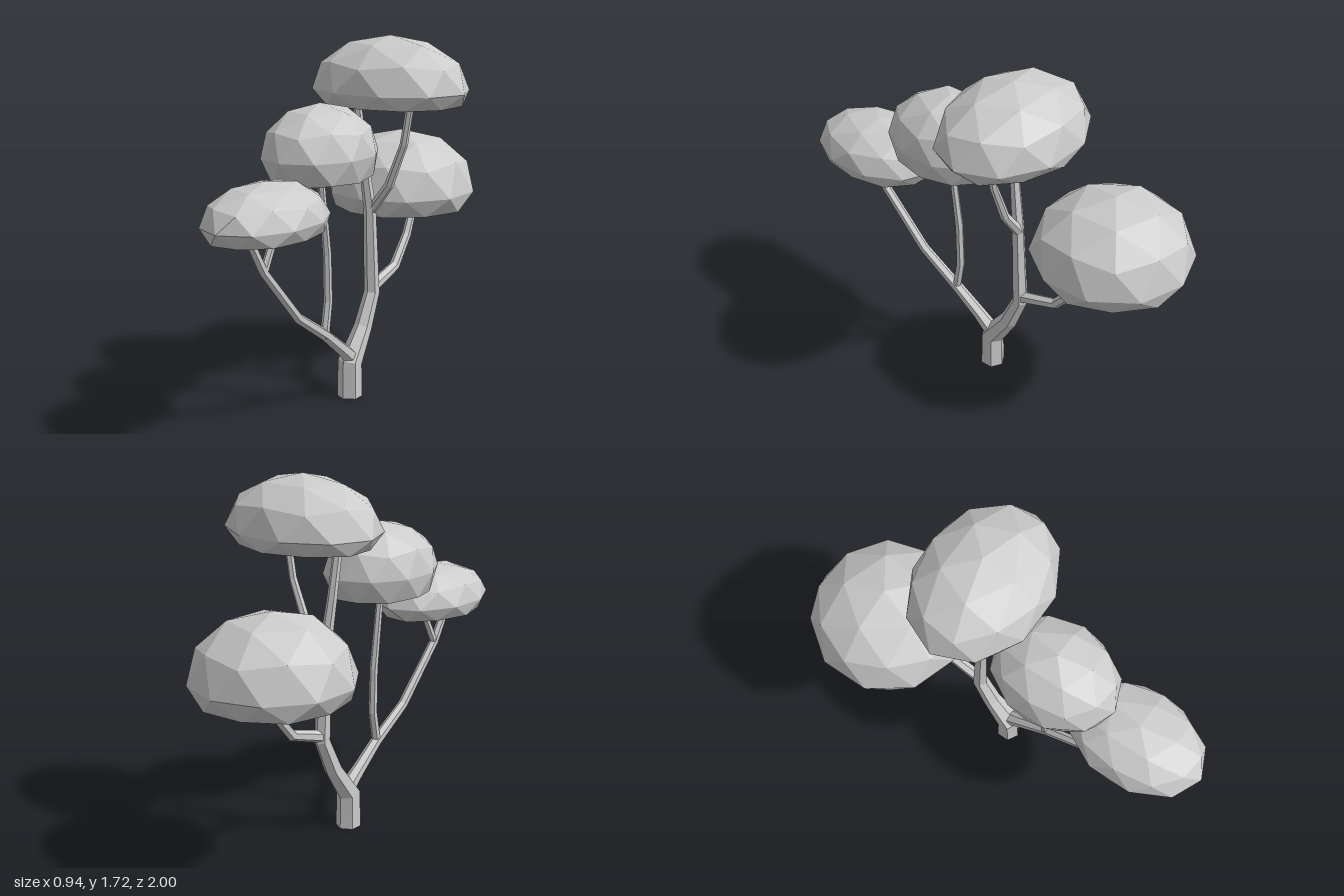
import * as THREE from 'three';

const material = new THREE.MeshStandardMaterial({ color: 0xcccccc, flatShading: true });
const SIDES = 6;

// Hexagonal branch lofted through stations [x, y, z, radius]
function branch(name, stations) {
  const pts = stations.map(s => new THREE.Vector3(s[0], s[1], s[2]));
  const n = pts.length, pos = [], index = [];
  pts.forEach((p, i) => {
    const t = new THREE.Vector3();
    if (i > 0) t.add(p.clone().sub(pts[i - 1]).normalize());
    if (i < n - 1) t.add(pts[i + 1].clone().sub(p).normalize());
    t.normalize();
    const u = new THREE.Vector3(1, 0, 0).addScaledVector(t, -t.x).normalize();
    const v = new THREE.Vector3().crossVectors(t, u);
    for (let k = 0; k < SIDES; k++) {
      const a = (k + 0.5) / SIDES * Math.PI * 2;
      const q = p.clone()
        .addScaledVector(u, Math.cos(a) * stations[i][3])
        .addScaledVector(v, Math.sin(a) * stations[i][3]);
      pos.push(q.x, q.y, q.z);
    }
  });
  for (let i = 0; i < n - 1; i++) {
    for (let k = 0; k < SIDES; k++) {
      const a = i * SIDES + k, b = i * SIDES + (k + 1) % SIDES;
      index.push(a, b, b + SIDES, a, b + SIDES, a + SIDES);
    }
  }
  // end caps
  const e = (n - 1) * SIDES;
  for (let k = 1; k < SIDES - 1; k++) index.push(0, k + 1, k, e, e + k, e + k + 1);
  const indexed = new THREE.BufferGeometry();
  indexed.setAttribute('position', new THREE.Float32BufferAttribute(pos, 3));
  indexed.setIndex(index);
  const geo = indexed.toNonIndexed();
  geo.computeVertexNormals();
  const mesh = new THREE.Mesh(geo, material);
  mesh.name = name;
  return mesh;
}

// Faceted cushion: ellipsoid with its underside pressed nearly flat
function canopy(name, center, radii, floor, turn) {
  const geo = new THREE.IcosahedronGeometry(1, 1);
  geo.rotateX(-Math.atan2((1 + Math.sqrt(5)) / 2, 1)); // one corner straight up
  geo.rotateY(turn);
  const p = geo.attributes.position;
  for (let i = 0; i < p.count; i++) {
    const y = p.getY(i);
    if (y < -floor) p.setY(i, -floor + (y + floor) * 0.06);
  }
  geo.scale(...radii);
  geo.computeVertexNormals();
  const mesh = new THREE.Mesh(geo, material);
  mesh.name = name;
  mesh.position.set(...center);
  return mesh;
}

export function createModel() {
  const tree = new THREE.Group();
  tree.name = 'tree';
  const x = -0.015;

  // Trunk and limbs
  const limbs = new THREE.Group();
  limbs.name = 'limbs';
  limbs.add(
    branch('trunk', [
      [-0.025, 0, -0.02, 0.06], [-0.025, 0.17, -0.02, 0.058], [-0.02, 0.32, -0.125, 0.044],
      [x, 0.48, -0.195, 0.038], [x, 0.9, -0.175, 0.03], [-0.03, 1.15, -0.14, 0.024],
      [-0.04, 1.45, -0.095, 0.02]]),
    branch('topSideBranch', [
      [x, 0.88, -0.18, 0.026], [0.09, 1.02, -0.18, 0.022], [0.17, 1.22, -0.18, 0.019],
      [0.21, 1.45, -0.18, 0.018]]),
    branch('backBranch', [
      [x, 0.5, -0.19, 0.03], [x, 0.565, -0.4, 0.026], [-0.02, 0.7, -0.52, 0.023],
      [-0.03, 0.86, -0.61, 0.02]]),
    branch('frontBranch', [
      [-0.02, 0.18, -0.04, 0.04], [-0.02, 0.26, 0.06, 0.032], [x, 0.365, 0.2, 0.027],
      [x, 0.5, 0.41, 0.024], [x, 0.77, 0.66, 0.022], [x, 0.97, 0.78, 0.02]]),
    branch('frontForkBranch', [[x, 0.76, 0.66, 0.02], [0, 0.97, 0.565, 0.017]]),
    branch('middleStem', [
      [x, 0.35, 0.205, 0.022], [x, 0.52, 0.175, 0.021], [x, 0.74, 0.18, 0.02],
      [x, 1.14, 0.23, 0.016]])
  );
  tree.add(limbs);

  // Leaf canopies
  const q = Math.PI / 2;
  tree.add(
    canopy('topCanopy', [0.075, 1.47, -0.21], [0.395, 0.25, 0.305], 0.25, 0),
    canopy('middleCanopy', [-0.015, 1.22, 0.23], [0.247, 0.23, 0.31], 0.48, q),
    canopy('frontCanopy', [0.007, 1.0, 0.66], [0.24, 0.17, 0.34], 0.37, q),
    canopy('backCanopy', [-0.12, 0.91, -0.625], [0.373, 0.3, 0.375], 0.28, -q)
  );
  return tree;
}
